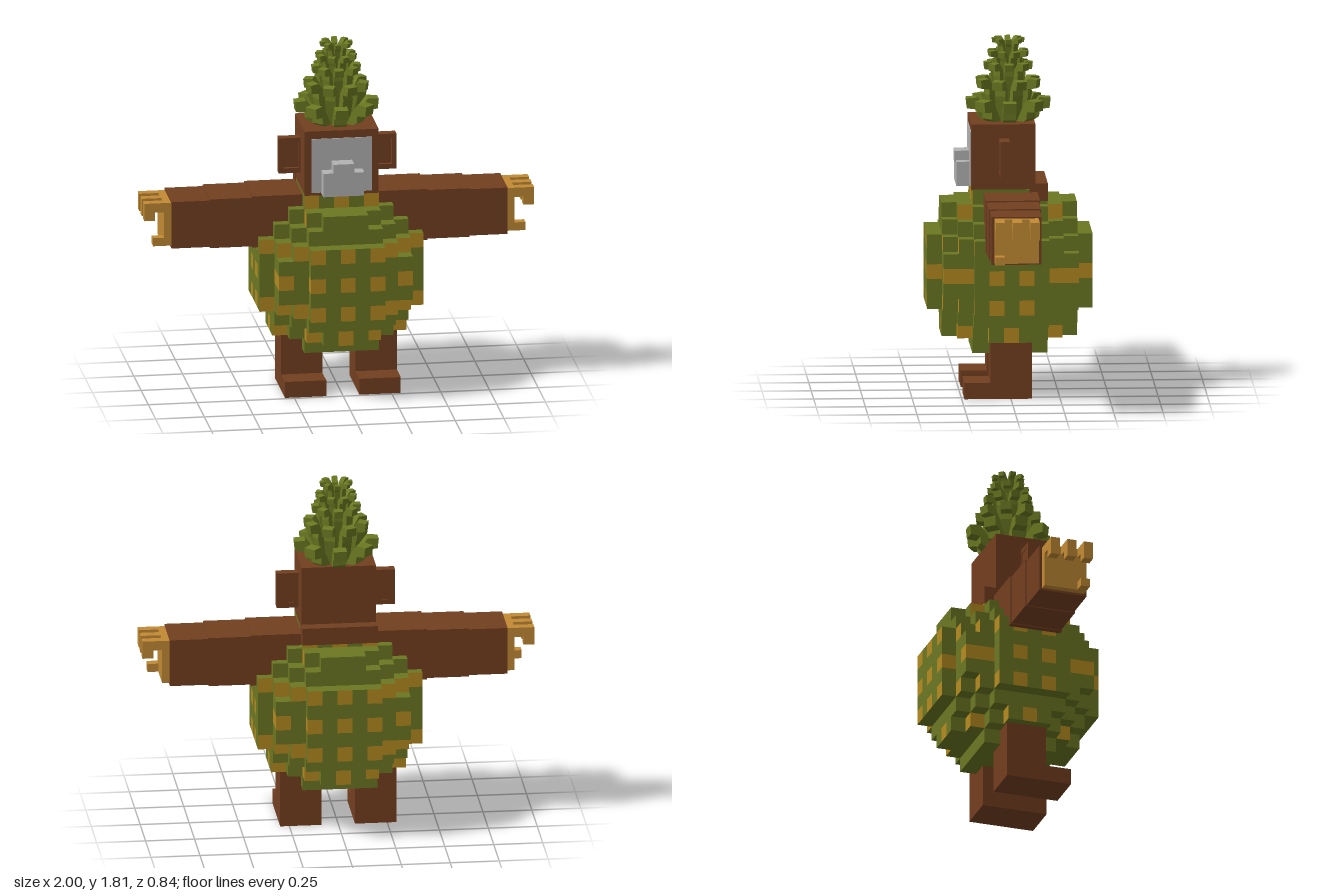
import * as THREE from 'three';

const mat = (name, color) => {
  const m = new THREE.MeshStandardMaterial({ color });
  m.name = name;
  return m;
};

export function createModel() {
  const green = mat('rind green', 0x6b7722);
  const ochre = mat('rind ochre', 0xb48a20);
  const leafGreen = mat('leaf green', 0x6c7a22);
  const brown = mat('fur brown', 0x733f20);
  const tan = mat('hand tan', 0xc28a34);
  const grey = mat('face grey', 0xb3b3b3);

  const model = new THREE.Group();
  model.name = 'pineappleApe';

  // Box given by its minimum and maximum corners
  const box = (parent, name, material, x0, x1, y0, y1, z0, z1) => {
    const mesh = new THREE.Mesh(new THREE.BoxGeometry(x1 - x0, y1 - y0, z1 - z0), material);
    mesh.position.set((x0 + x1) / 2, (y0 + y1) / 2, (z0 + z1) / 2);
    mesh.name = name;
    parent.add(mesh);
    return mesh;
  };
  const group = (name, parent = model) => {
    const g = new THREE.Group();
    g.name = name;
    parent.add(g);
    return g;
  };

  // Round body of cubes, eleven cubes across, with ochre squares on its rind
  const U = 0.0764, CY = 0.64;
  const solid = (c) => c[0] * c[0] + c[1] * c[1] + c[2] * c[2] <= 33;
  const isOchre = (axis, [x, y, z]) => {
    const ax = Math.abs(x), az = Math.abs(z);
    if (axis === 2) {
      if (Math.abs(y) === 2) return ax % 2 === 0 || ax >= 3;
      return (y === 0 || y === 5 || y === -4) && ax % 2 === 0;
    }
    if (axis === 0) {
      if (y === 0) return az === 1 || az >= 3;
      if (Math.abs(y) === 2) return az === 1;
      if (y === 4) return az === 3;
      if (y === -4) return az === 3 || az === 0;
    }
    return false;
  };
  const rind = [[], []];
  for (let x = -5; x <= 5; x++) for (let y = -5; y <= 5; y++) for (let z = -5; z <= 5; z++) {
    const cell = [x, y, z];
    if (!solid(cell)) continue;
    for (let axis = 0; axis < 3; axis++) for (const s of [-1, 1]) {
      const next = [...cell];
      next[axis] += s;
      if (solid(next)) continue;
      const corners = [[-1, -1], [1, -1], [1, 1], [-1, 1]].map(([u, v]) => {
        const p = [...cell];
        p[axis] += s / 2;
        p[(axis + 1) % 3] += u / 2;
        p[(axis + 2) % 3] += v / 2;
        return [p[0] * U, p[1] * U + CY, p[2] * U];
      });
      if (s < 0) corners.reverse();
      const out = rind[isOchre(axis, cell) ? 1 : 0];
      for (const i of [0, 1, 2, 0, 2, 3]) out.push(...corners[i]);
    }
  }
  const body = group('body');
  rind.forEach((points, i) => {
    const geo = new THREE.BufferGeometry();
    geo.setAttribute('position', new THREE.Float32BufferAttribute(points, 3));
    geo.computeVertexNormals();
    const mesh = new THREE.Mesh(geo, i ? ochre : green);
    mesh.name = i ? 'rindSquares' : 'rind';
    body.add(mesh);
  });

  // Head with face plate, muzzle and nape
  const head = group('head');
  box(head, 'skull', brown, -0.19, 0.19, 1.055, 1.395, -0.13, 0.195);
  box(head, 'nape', brown, -0.193, 0.193, 1.0, 1.09, -0.193, -0.1);
  box(head, 'facePlate', grey, -0.155, 0.155, 1.07, 1.355, 0.193, 0.2);
  box(head, 'muzzle', grey, -0.105, 0.105, 1.066, 1.19, 0.19, 0.268);
  box(head, 'nose', grey, -0.053, 0.053, 1.18, 1.238, 0.19, 0.275);

  // Limbs and ears, once for each side
  for (const s of [1, -1]) {
    const side = s > 0 ? 'left' : 'right';
    const part = (parent, name, m, x0, x1, ...rest) =>
      box(parent, name, m, Math.min(s * x0, s * x1), Math.max(s * x0, s * x1), ...rest);

    // Ear: a shallow rim around a thin plate
    const ear = group(side + 'Ear', head);
    part(ear, 'earPlate', brown, 0.18, 0.29, 1.145, 1.31, 0.008, 0.035);
    part(ear, 'earRimTop', brown, 0.18, 0.302, 1.298, 1.322, 0.005, 0.054);
    part(ear, 'earRimBottom', brown, 0.18, 0.302, 1.136, 1.162, 0.005, 0.054);
    part(ear, 'earRimOuter', brown, 0.278, 0.302, 1.162, 1.298, 0.005, 0.054);
    part(ear, 'earRimInner', brown, 0.18, 0.2, 1.162, 1.298, 0.005, 0.054);

    // Arm in three slightly narrowing segments
    const arm = group(side + 'Arm');
    part(arm, 'upperArm', brown, 0.1, 0.45, 0.775, 1.045, -0.14, 0.135);
    part(arm, 'middleArm', brown, 0.45, 0.665, 0.78, 1.038, -0.135, 0.131);
    part(arm, 'forearm', brown, 0.665, 0.862, 0.785, 1.031, -0.128, 0.126);

    // Hand with three hooked fingers and a thumb
    const hand = group(side + 'Hand', arm);
    part(hand, 'palm', tan, 0.85, 0.9, 0.797, 1.024, -0.112, 0.112);
    for (const z of [-0.088, 0, 0.088]) {
      part(hand, 'finger', tan, 0.89, 1.0, 0.975, 1.024, z - 0.024, z + 0.024);
      part(hand, 'fingerTip', tan, 0.945, 1.0, 0.932, 0.976, z - 0.024, z + 0.024);
    }
    part(hand, 'thumb', tan, 0.89, 0.955, 0.797, 0.84, 0.064, 0.112);

    // Leg and foot
    const leg = group(side + 'Leg');
    part(leg, 'shin', brown, 0.085, 0.297, 0, 0.34, -0.106, 0.103);
    part(leg, 'foot', brown, 0.085, 0.297, 0, 0.084, 0.1, 0.236);
  }

  // Crown: rings of outward-curving leaves, narrowing towards the top
  const crown = group('leafCrown');
  const rings = [
    { r: 0.215, top: 1.508, base: 1.385, foot: 0.085, n: 8, w: 0.066 },
    { r: 0.165, top: 1.608, base: 1.39, foot: 0.06, n: 8, w: 0.056 },
    { r: 0.125, top: 1.69, base: 1.44, foot: 0.04, n: 8, w: 0.045 },
    { r: 0.105, top: 1.75, base: 1.52, foot: 0.028, n: 8, w: 0.036 },
    { r: 0.083, top: 1.812, base: 1.6, foot: 0.018, n: 8, w: 0.028 },
  ];
  rings.forEach(({ r, top, base, foot, n, w }, k) => {
    const t = w * 0.85, mid = foot + (r - foot) * 0.4;
    const shape = new THREE.Shape([
      [foot, base], [foot + t * 0.6, base], [mid + t * 0.35, top - t * 1.75],
      [r - t, top - t * 1.1], [r - t * 0.1, top - t], [r, top - t * 0.08],
      [r - t, top], [mid - t * 0.3, top - t * 0.95],
    ].map(([x, y]) => new THREE.Vector2(x, y)));
    const geo = new THREE.ExtrudeGeometry(shape, { depth: w, bevelEnabled: false });
    geo.translate(0, 0, -w / 2);
    for (let i = 0; i < n; i++) {
      const leaf = new THREE.Mesh(geo, leafGreen);
      leaf.name = 'leaf';
      leaf.rotation.y = ((i + (k % 2) * 0.5) / n) * Math.PI * 2;
      crown.add(leaf);
    }
  });

  return model;
}
